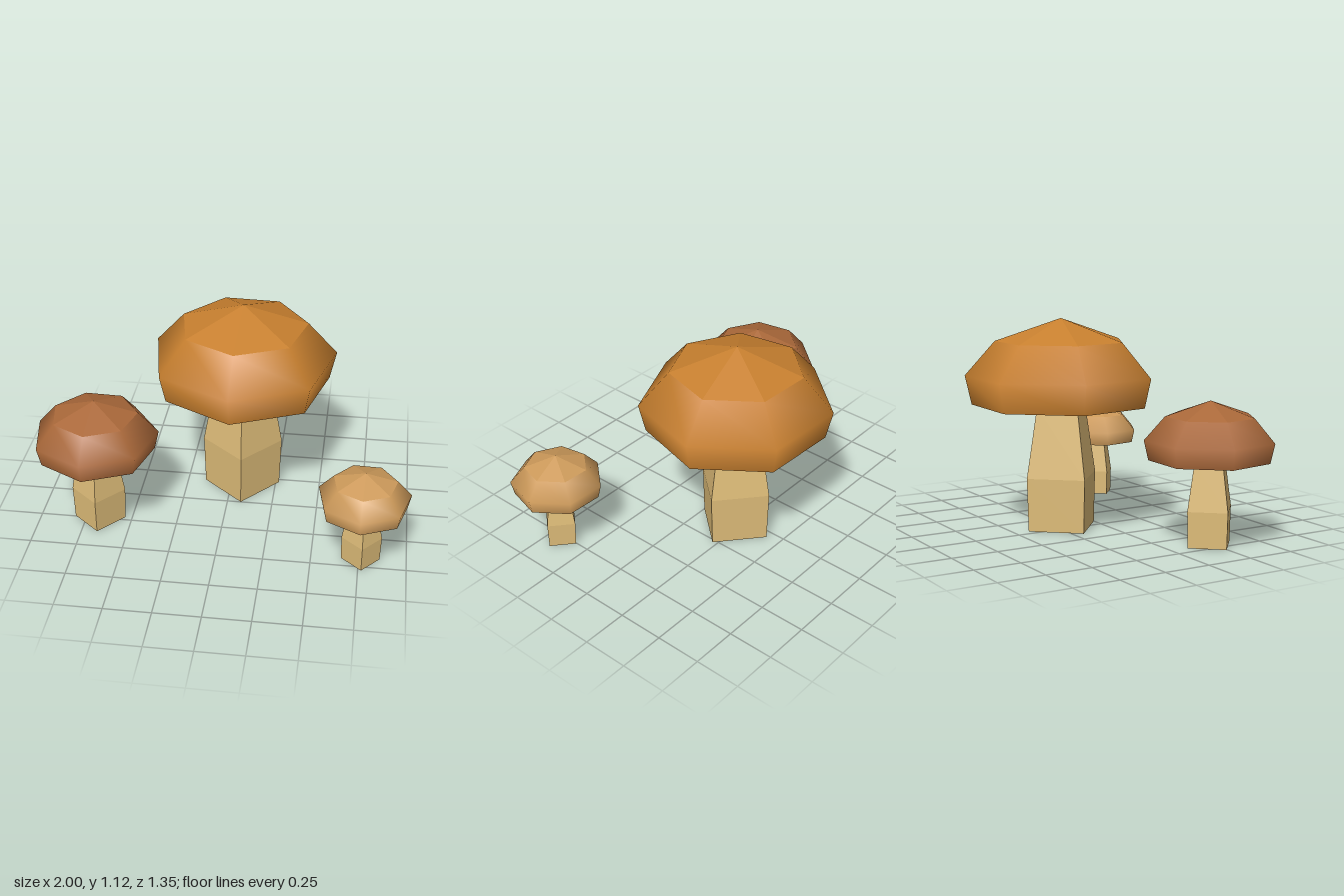
import * as THREE from 'three';

const material = (name, color) => {
  const m = new THREE.MeshStandardMaterial({ color });
  m.name = name;
  return m;
};

// Turned form from [radius, height] pairs, listed from bottom to top
function turned(profile, sides, turn, faceted) {
  const points = profile.map(([r, y]) => new THREE.Vector2(r, y));
  const geometry = new THREE.LatheGeometry(points, sides, turn);
  if (!faceted) return geometry;
  const flat = geometry.toNonIndexed();
  flat.computeVertexNormals();
  return flat;
}

export function createModel() {
  const group = new THREE.Group();
  group.name = 'mushroomCluster';

  const stemColor = material('stemCream', 0xdfbd79);
  const gillColor = material('gillTan', 0xbe955b);

  const capTurn = -0.04;
  const stemTurn = 0.07;

  // Four-sided stem, slightly swollen below the middle
  const stem = turned([[0, 0], [0.21, 0], [0.219, 0.285], [0.153, 0.66]], 4, stemTurn, true);
  // Shallow underside of the cap
  const gills = turned([[0, 0.644], [0.17, 0.644], [0.475, 0.668]], 7, capTurn, true);
  // Seven-sided cap wall, softly shaded
  const capSide = turned([[0.475, 0.668], [0.51, 0.823], [0.35, 1.005]], 7, capTurn, false);
  // Faceted crown
  const capTop = turned([[0.35, 1.005], [0, 1.125]], 7, capTurn, true);

  const mushrooms = [
    ['largeMushroom', 0.06, -0.21, 1, material('capOrange', 0xc8802f)],
    ['mediumMushroom', -0.675, 0.235, 0.657, material('capRusset', 0xab693a)],
    ['smallMushroom', 0.76, 0.43, 0.48, material('capTan', 0xcd9a5a)],
  ];

  for (const [name, x, z, size, capColor] of mushrooms) {
    const mushroom = new THREE.Group();
    mushroom.name = name;
    const parts = [
      ['stem', stem, stemColor],
      ['gills', gills, gillColor],
      ['capSide', capSide, capColor],
      ['capTop', capTop, capColor],
    ];
    for (const [partName, geometry, color] of parts) {
      const mesh = new THREE.Mesh(geometry, color);
      mesh.name = partName;
      mushroom.add(mesh);
    }
    mushroom.position.set(x, 0, z);
    mushroom.scale.setScalar(size);
    group.add(mushroom);
  }
  return group;
}
